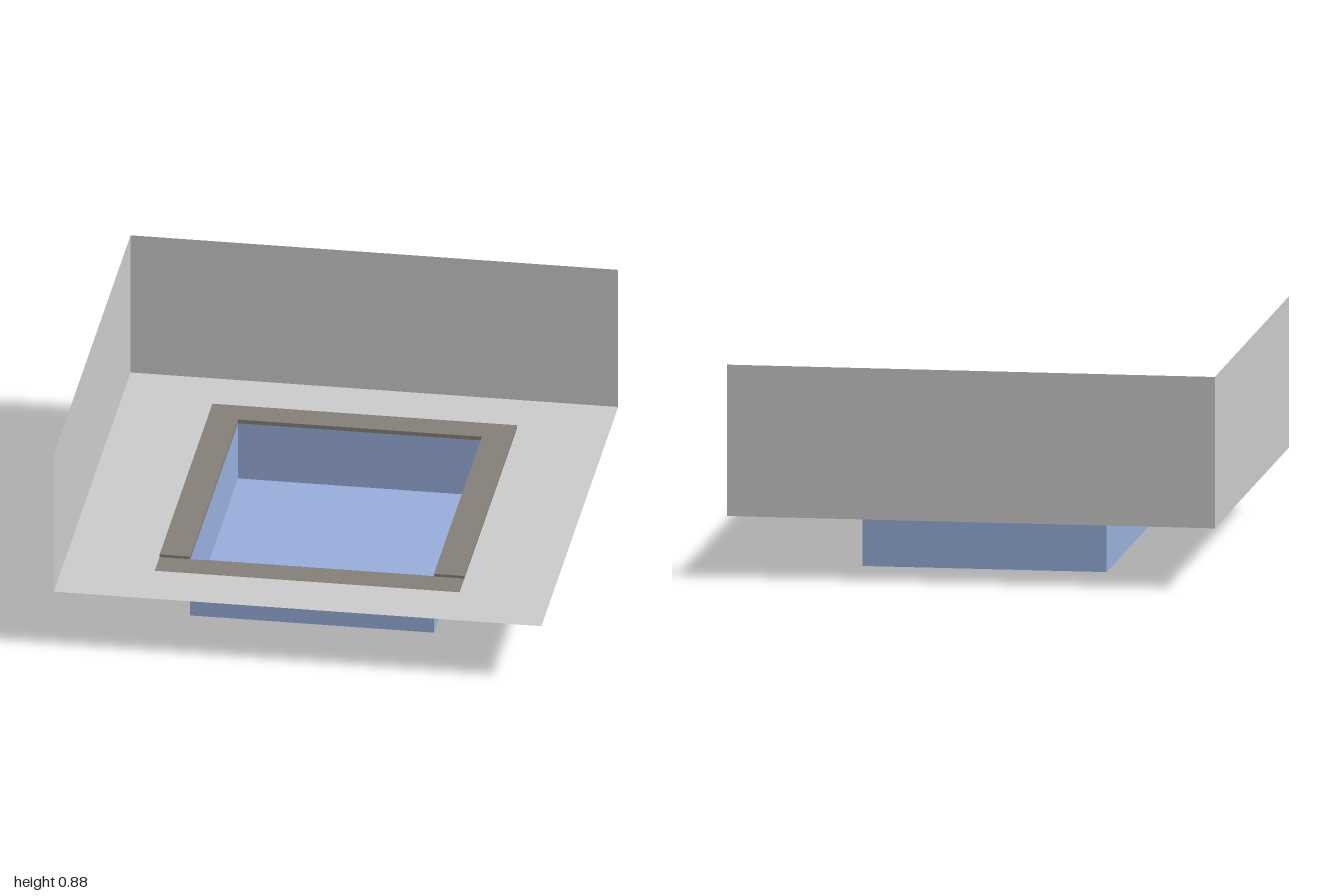
import * as THREE from 'three';

const FLOOR = 0.255;      // height of the room floor
const POOL_TOP = 0.25;    // depth of the basin
const WALL_TOP = 0.877;
const PX = 0.5, PZ = 0.625;     // basin half sizes
const CX = 0.625, CZ = 0.75;    // rim half sizes

const material = (color) =>
  new THREE.MeshStandardMaterial({ color, flatShading: true, side: THREE.DoubleSide });

// Closed outline in plan; y of the shape becomes -z once laid flat
const outline = (Type, points) => new Type(points.map(([x, z]) => new THREE.Vector2(x, -z)));
const rect = (x, z) => [[-x, -z], [x, -z], [x, z], [-x, z]];

export function createModel() {
  const model = new THREE.Group();
  const grey = material(0xcccccc);
  const stone = material(0x858079);
  const blue = material(0x98aedc);

  const add = (name, geometry, mat, parent = model) => {
    const mesh = new THREE.Mesh(geometry, mat);
    mesh.name = name;
    parent.add(mesh);
    return mesh;
  };
  const sheet = (name, w, h, mat, position, rotation, parent) => {
    const mesh = add(name, new THREE.PlaneGeometry(w, h), mat, parent);
    mesh.position.set(...position);
    mesh.rotation.set(...rotation);
    return mesh;
  };

  // Room floor with the opening for the basin and its rim
  const floorShape = outline(THREE.Shape, rect(1, 1));
  floorShape.holes.push(outline(THREE.Path, rect(CX, CZ)));
  add('floor', new THREE.ShapeGeometry(floorShape).rotateX(-Math.PI / 2).translate(0, FLOOR, 0), grey);

  // Two room walls
  const wallH = WALL_TOP - FLOOR, wallY = (WALL_TOP + FLOOR) / 2;
  sheet('backWall', 2, wallH, grey, [0, wallY, -1], [0, 0, 0]);
  sheet('rightWall', 2, wallH, grey, [-1, wallY, 0], [0, Math.PI / 2, 0]);

  // Raised rim around three sides of the basin
  const rimShape = outline(THREE.Shape, [
    [-CX, -CZ], [CX, -CZ], [CX, PZ], [PX, PZ], [PX, -PZ], [-PX, -PZ], [-PX, PZ], [-CX, PZ],
  ]);
  const rim = new THREE.ExtrudeGeometry(rimShape, { depth: 0.017, bevelEnabled: false });
  add('rim', rim.rotateX(-Math.PI / 2).translate(0, POOL_TOP, 0), stone);

  // Flush threshold at the open front end
  sheet('threshold', 2 * CX, CZ - PZ, stone, [0, FLOOR, (PZ + CZ) / 2], [-Math.PI / 2, 0, 0]);

  // Basin
  const basin = new THREE.Group();
  basin.name = 'basin';
  model.add(basin);
  sheet('basinFloor', 2 * PX, 2 * PZ, blue, [0, 0, 0], [-Math.PI / 2, 0, 0], basin);
  for (const s of [-1, 1]) {
    sheet(s < 0 ? 'basinRightSide' : 'basinLeftSide', 2 * PZ, POOL_TOP, blue,
      [s * PX, POOL_TOP / 2, 0], [0, s * Math.PI / 2, 0], basin);
    sheet(s < 0 ? 'basinBack' : 'basinFront', 2 * PX, POOL_TOP, blue,
      [0, POOL_TOP / 2, s * PZ], [0, s < 0 ? Math.PI : 0, 0], basin);
  }

  // Entry ramp from the threshold down to the basin floor
  const run = 0.5, slope = Math.atan2(POOL_TOP, run);
  sheet('entryRamp', 2 * PX, Math.hypot(run, POOL_TOP), stone,
    [0, POOL_TOP / 2 + 0.002, PZ - run / 2], [-Math.PI / 2 - slope, 0, 0], basin);

  return model;
}
